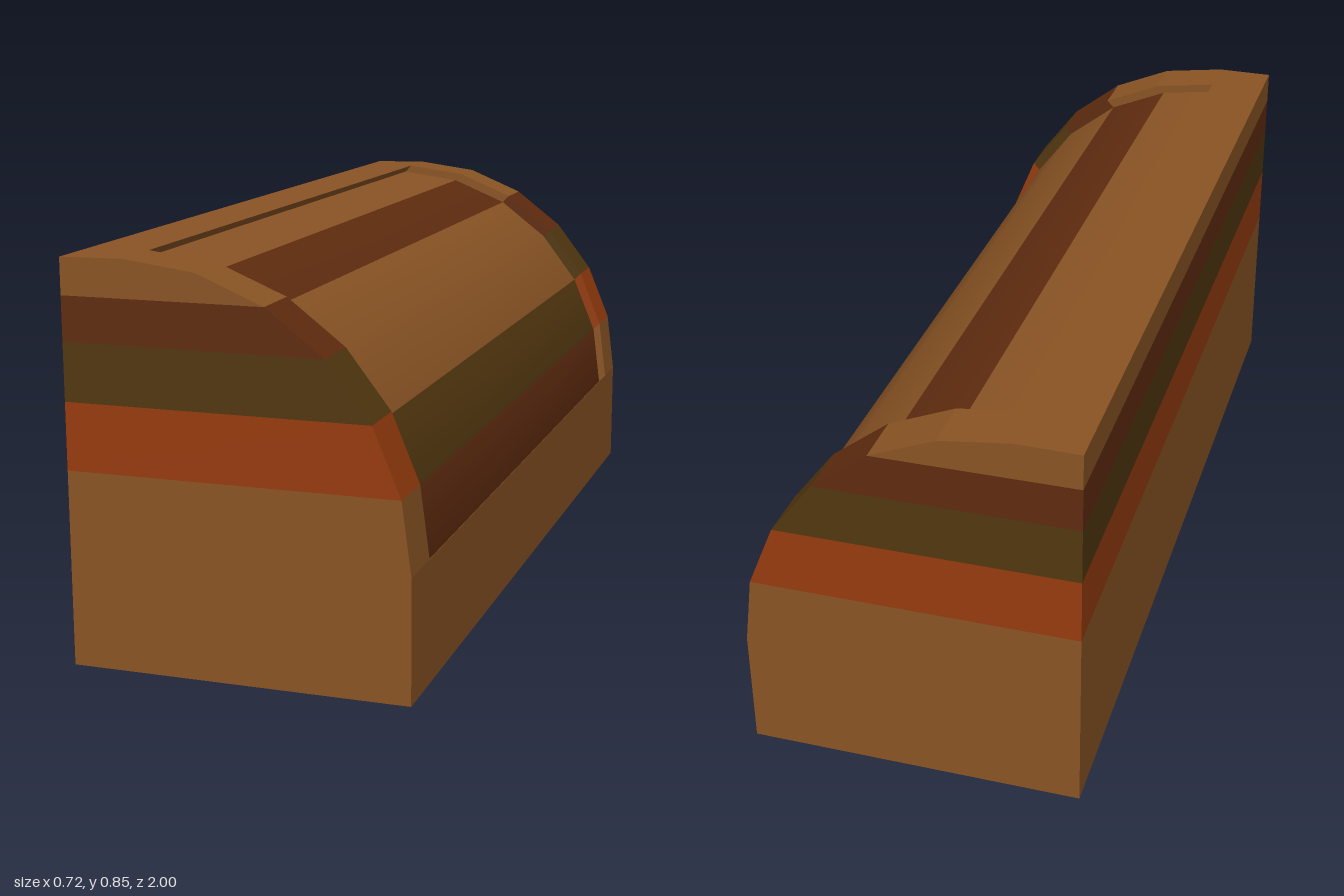
import * as THREE from 'three';

const makeMaterial = (name, color) => {
  const m = new THREE.MeshStandardMaterial({ color });
  m.name = name;
  return m;
};

// Collects flat polygons and lengthwise strips, sorted by colour
class Part {
  constructor(name) { this.name = name; this.faces = new Map(); }
  face(mat, pts, normals) {
    if (!this.faces.has(mat)) this.faces.set(mat, { pos: [], nor: [] });
    const f = this.faces.get(mat);
    const [a, b, c] = pts.map(p => new THREE.Vector3(...p));
    const flat = b.clone().sub(a).cross(c.sub(a)).normalize().toArray();
    for (let i = 1; i < pts.length - 1; i++)
      for (const j of [0, i, i + 1]) {
        f.pos.push(...pts[j]);
        f.nor.push(...(normals ? normals[j] : flat));
      }
  }
  // surface between profile points p and q (counter-clockwise seen from +z)
  strip(mat, p, q, z1, z2, np, nq) {
    this.face(mat, [[...p, z2], [...p, z1], [...q, z1], [...q, z2]], np && [np, np, nq, nq]);
  }
  // cross-section polygon at z, facing +z or -z
  cap(mat, pts, z, facing) {
    const list = pts.map(p => [...p, z]);
    this.face(mat, facing > 0 ? list : list.reverse());
  }
  build() {
    const group = new THREE.Group();
    group.name = this.name;
    for (const [mat, f] of this.faces) {
      const g = new THREE.BufferGeometry();
      g.setAttribute('position', new THREE.Float32BufferAttribute(f.pos, 3));
      g.setAttribute('normal', new THREE.Float32BufferAttribute(f.nor, 3));
      const mesh = new THREE.Mesh(g, mat);
      mesh.name = `${this.name} ${mat.name}`;
      group.add(mesh);
    }
    return group;
  }
}

export function createModel() {
  const brown = makeMaterial('brown', 0x8a5424);
  const dark = makeMaterial('dark brown', 0x602c0f);
  const olive = makeMaterial('olive', 0x52370f);
  const rust = makeMaterial('rust', 0x963b0d);

  // Quarter-round profile in 15 degree steps, and its recessed copy
  const X = 0.36, Z = 1, RZ = 0.88, R = 0.585;
  const angles = [0, 1, 2, 3, 4, 5, 6].map(i => i * Math.PI / 12);
  const outer = angles.map(a => [-0.225 + R * Math.cos(a), 0.26 + R * Math.sin(a)]);
  const inner = outer.map(([x, y]) => [x - 0.017, y - 0.018]);
  const radial = angles.map(a => [Math.cos(a), Math.sin(a), 0]);
  const topLeft = [-X, 0.843];
  const left = k => [-X, outer[k][1]];
  const outerColors = [brown, rust, olive, dark, brown, brown];
  const innerColors = [dark, olive, brown, brown, dark, brown];

  // Painted layers, each a slice of the cross-section
  const layers = [
    [brown, [[-X, 0], [X, 0], outer[0], outer[1], left(1)]],
    [rust, [left(1), outer[1], outer[2], left(2)]],
    [olive, [left(2), outer[2], outer[3], left(3)]],
    [dark, [left(3), outer[3], outer[4], left(4)]],
    [brown, [left(4), outer[4], outer[5], outer[6], topLeft]],
  ];
  const body = new Part('body');
  for (const [mat, pts] of layers) {
    body.cap(mat, pts, Z, 1);
    body.cap(mat, pts, -Z, -1);
    body.strip(mat, pts[pts.length - 1], pts[0], -Z, Z);
  }
  body.strip(brown, [-X, 0], [X, 0], -Z, Z);
  body.strip(brown, [X, 0], outer[0], -Z, Z);
  body.strip(brown, outer[6], topLeft, -Z, Z);

  // Raised rims at both ends, with the recess walls behind them
  const rims = new Part('end rims');
  const panel = new Part('recessed panel');
  for (let k = 0; k < 6; k++) {
    const mat = outerColors[k];
    const wall = [inner[k], outer[k], outer[k + 1], inner[k + 1]];
    rims.strip(mat, outer[k], outer[k + 1], RZ, Z);
    rims.strip(mat, outer[k], outer[k + 1], -Z, -RZ);
    rims.cap(mat, wall, RZ, -1);
    rims.cap(mat, wall, -RZ, 1);
    panel.strip(innerColors[k], inner[k], inner[k + 1], -RZ, RZ, radial[k], radial[k + 1]);
  }

  // Narrow ledges along the lower and upper edges of the recess
  const ledges = new Part('recess ledges');
  ledges.strip(brown, outer[0], inner[0], -RZ, RZ);
  ledges.strip(brown, inner[6], outer[6], -RZ, RZ);

  const model = new THREE.Group();
  model.name = 'curved banded block';
  model.add(body.build(), rims.build(), panel.build(), ledges.build());
  return model;
}
